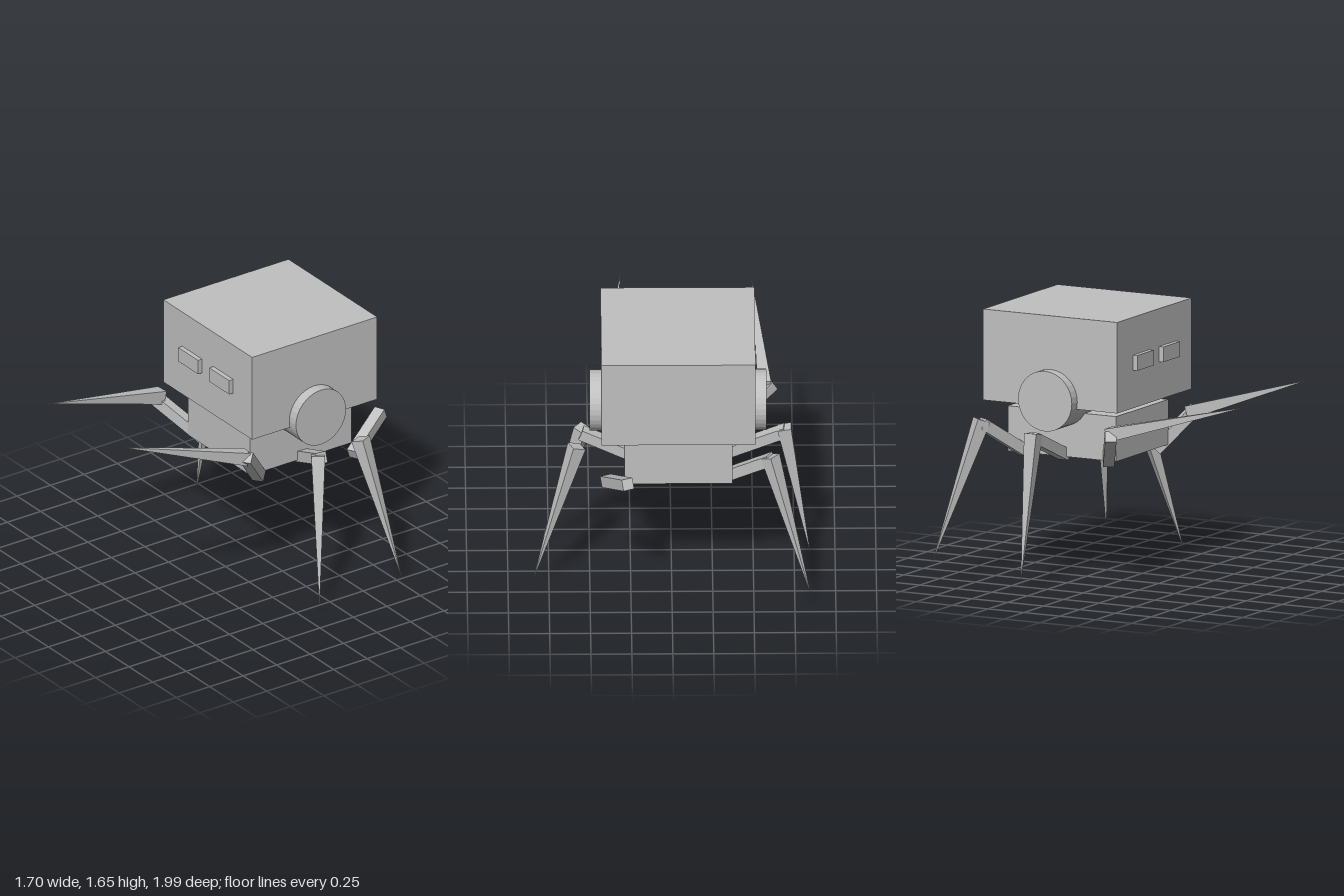
import * as THREE from 'three';

const grey = new THREE.MeshStandardMaterial({ color: 0xc0c0c0, flatShading: true });
grey.name = 'grey';

function add(parent, name, geometry) {
  const mesh = new THREE.Mesh(geometry, grey);
  mesh.name = name;
  parent.add(mesh);
  return mesh;
}

// Box given by its extents on each axis
function block(parent, name, [x0, x1], [y0, y1], [z0, z1]) {
  add(parent, name, new THREE.BoxGeometry(x1 - x0, y1 - y0, z1 - z0))
    .position.set((x0 + x1) / 2, (y0 + y1) / 2, (z0 + z1) / 2);
}

// Lays a part whose length runs along z between two points
function span(mesh, a, b) {
  mesh.position.copy(a).lerp(b, 0.5);
  mesh.lookAt(b);
}

// Upper segment is a square bar, lower segment a square spike
function addLeg(parent, name, { hip, knee, base, tip }) {
  const leg = new THREE.Group();
  leg.name = name;
  const [h, k, b, t] = [hip, knee, base, tip].map(p => new THREE.Vector3(...p));
  span(add(leg, 'upperLeg', new THREE.BoxGeometry(0.07, 0.07, h.distanceTo(k))), h, k);
  const spike = new THREE.ConeGeometry(0.06, b.distanceTo(t), 4)
    .rotateY(Math.PI / 4).rotateX(Math.PI / 2);
  span(add(leg, 'lowerLeg', spike), b, t);
  parent.add(leg);
}

export function createModel() {
  const model = new THREE.Group();
  model.name = 'walkerRobot';

  // Head and body
  block(model, 'head', [-0.51, 0.43], [1.095, 1.66], [-0.83, 0.105]);
  block(model, 'body', [-0.37, 0.29], [0.765, 1.045], [-0.735, 0.02]);

  // Eyes
  block(model, 'rightEye', [-0.31, -0.1], [1.33, 1.425], [0.1, 0.135]);
  block(model, 'leftEye', [0.02, 0.23], [1.33, 1.425], [0.1, 0.135]);

  // Drum running through the head
  const drum = add(model, 'drum', new THREE.CylinderGeometry(0.187, 0.187, 1.08, 32).rotateZ(Math.PI / 2));
  drum.position.set(-0.04, 1.14, -0.36);

  // Legs, each in its own pose
  const legs = {
    frontRightLeg: { hip: [-0.32, 0.75, -0.06], knee: [-0.62, 0.97, 0.12], base: [-0.57, 0.97, 0.08], tip: [-0.5, 1.21, 0.99] },
    middleRightLeg: { hip: [-0.33, 0.77, -0.36], knee: [-0.7, 0.93, -0.38], base: [-0.69, 0.955, -0.38], tip: [-0.85, 0.05, -0.38] },
    backRightLeg: { hip: [-0.33, 0.77, -0.64], knee: [-0.61, 0.97, -0.79], base: [-0.6, 0.99, -0.79], tip: [-0.85, 0.12, -1.0] },
    frontLeftLeg: { hip: [0.27, 0.73, -0.06], knee: [0.42, 0.98, 0.14], base: [0.385, 0.96, 0.12], tip: [0.3, 1.25, 0.99] },
    middleLeftLeg: { hip: [0.22, 0.76, -0.38], knee: [0.55, 0.89, -0.33], base: [0.54, 0.91, -0.31], tip: [0.79, 0.01, -0.145] },
    backLeftLeg: { hip: [0.4, 0.75, -0.67], knee: [0.27, 0.9, -0.97], base: [0.58, 0.955, -0.6], tip: [0.85, 0.07, -0.72] },
  };
  for (const [name, pose] of Object.entries(legs)) addLeg(model, name, pose);

  return model;
}
